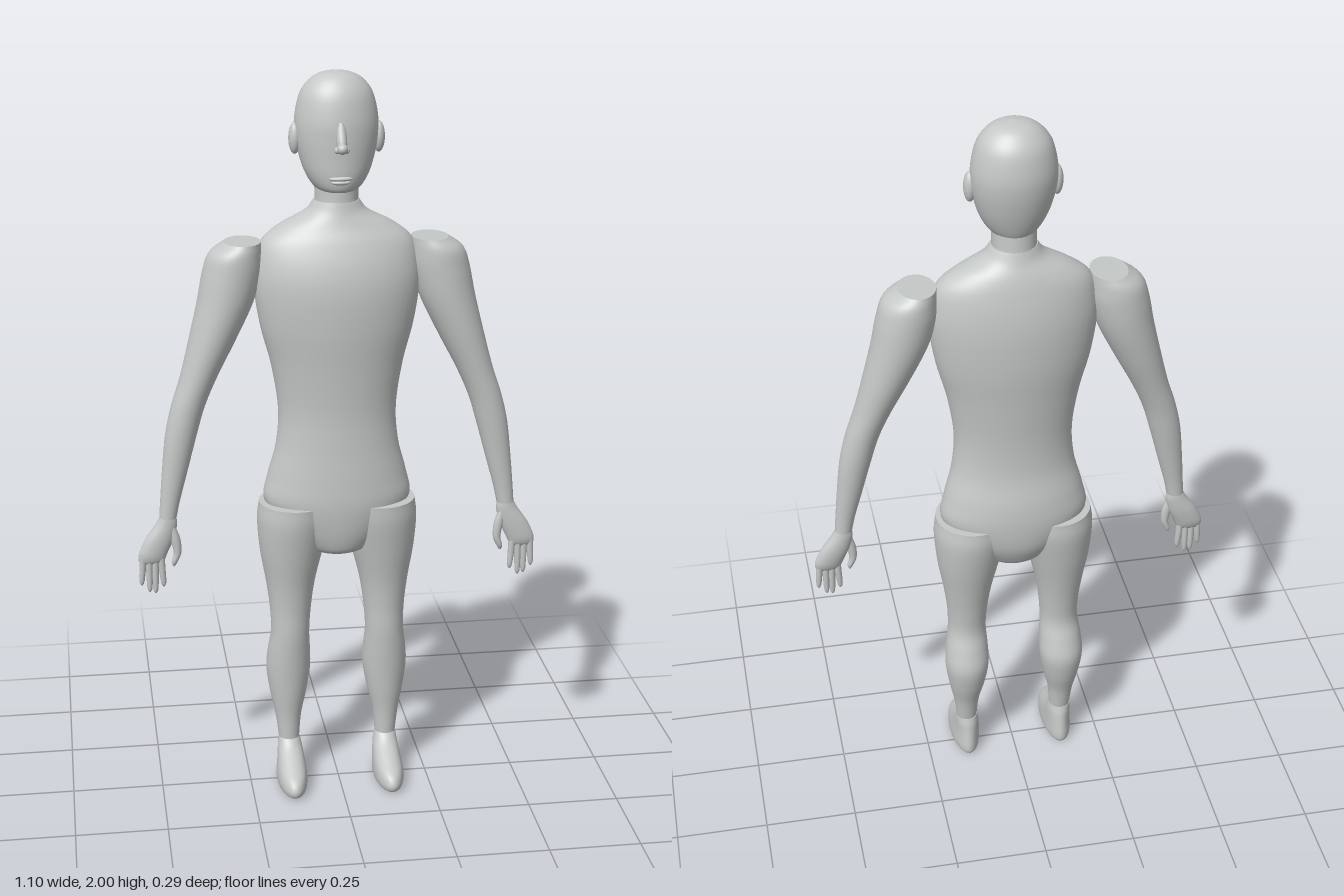
import * as THREE from 'three';

const skin = new THREE.MeshStandardMaterial({ color: 0xc4c8c6 });
skin.name = 'light grey';

// Smooth body through horizontal ellipses, listed from the top down.
// Each section: [y, xMin, xMax, zBack, zFront]
function loft(name, sections, { steps = 6, sides = 36, mirror = 1 } = {}) {
  const centres = new THREE.CatmullRomCurve3(
    sections.map(([y, a, b, c, d]) => new THREE.Vector3(mirror * (a + b) / 2, y, (c + d) / 2)), false, 'catmullrom');
  const radii = new THREE.CatmullRomCurve3(
    sections.map(([, a, b, c, d]) => new THREE.Vector3((b - a) / 2, (d - c) / 2, 0)), false, 'catmullrom');
  const rows = (sections.length - 1) * steps;
  const pos = [], index = [];
  const addRing = (t) => {
    const c = centres.getPoint(t), r = radii.getPoint(t);
    for (let j = 0; j < sides; j++) {
      const a = j / sides * Math.PI * 2;
      pos.push(c.x + Math.max(r.x, 0.0005) * Math.cos(a), c.y, c.z + Math.max(r.y, 0.0005) * Math.sin(a));
    }
    return c;
  };
  for (let i = 0; i <= rows; i++) addRing(i / rows);
  for (let i = 0; i < rows; i++) {
    for (let j = 0; j < sides; j++) {
      const k = (j + 1) % sides;
      const a = i * sides + j, b = i * sides + k;
      index.push(a, b, a + sides, b, b + sides, a + sides);
    }
  }
  // Flat end caps with their own vertices, so the rims stay sharp
  for (const end of [0, 1]) {
    const base = pos.length / 3;
    const c = addRing(end);
    pos.push(c.x, c.y, c.z);
    for (let j = 0; j < sides; j++) {
      const k = (j + 1) % sides;
      if (end === 0) index.push(base + sides, base + k, base + j);
      else index.push(base + sides, base + j, base + k);
    }
  }
  const geo = new THREE.BufferGeometry();
  geo.setAttribute('position', new THREE.Float32BufferAttribute(pos, 3));
  geo.setIndex(index);
  geo.computeVertexNormals();
  const mesh = new THREE.Mesh(geo, skin);
  mesh.name = name;
  return mesh;
}

// Ellipsoid for the small features
function blob(name, x, y, z, rx, ry, rz) {
  const mesh = new THREE.Mesh(new THREE.SphereGeometry(1, 24, 16), skin);
  mesh.name = name;
  mesh.position.set(x, y, z);
  mesh.scale.set(rx, ry, rz);
  return mesh;
}

function makeHead() {
  const head = new THREE.Group();
  head.name = 'head';
  head.add(loft('skull', [
    [2.0, -0.004, 0.004, -0.037, -0.029],
    [1.993, -0.042, 0.042, -0.075, 0.005],
    [1.975, -0.072, 0.072, -0.1, 0.028],
    [1.94, -0.096, 0.096, -0.122, 0.048],
    [1.88, -0.109, 0.109, -0.133, 0.06],
    [1.83, -0.108, 0.108, -0.13, 0.062],
    [1.78, -0.098, 0.098, -0.119, 0.061],
    [1.74, -0.084, 0.084, -0.106, 0.06],
    [1.71, -0.066, 0.066, -0.093, 0.055],
    [1.697, -0.05, 0.05, -0.082, 0.046],
    [1.692, -0.03, 0.03, -0.06, 0.025],
  ], { sides: 48 }));
  // Nose: bridge, tip and nostrils
  head.add(loft('noseBridge', [
    [1.88, -0.006, 0.006, 0.045, 0.062],
    [1.86, -0.012, 0.012, 0.045, 0.073],
    [1.83, -0.014, 0.014, 0.045, 0.088],
    [1.81, -0.012, 0.012, 0.045, 0.088],
  ], { sides: 20 }));
  head.add(blob('noseTip', 0, 1.817, 0.082, 0.014, 0.014, 0.016));
  // Lips
  head.add(blob('upperLip', 0, 1.735, 0.052, 0.032, 0.007, 0.014));
  head.add(blob('lowerLip', 0, 1.725, 0.052, 0.026, 0.007, 0.013));
  for (const s of [1, -1]) {
    head.add(blob('nostril', s * 0.011, 1.812, 0.072, 0.009, 0.009, 0.012));
    head.add(blob(s > 0 ? 'leftEar' : 'rightEar', s * 0.11, 1.828, -0.028, 0.016, 0.041, 0.021));
  }
  return head;
}

function makeArm(mirror) {
  const arm = new THREE.Group();
  arm.name = mirror > 0 ? 'leftArm' : 'rightArm';
  arm.add(loft('armLimb', [
    [1.56, 0.2, 0.298, -0.095, 0.035],
    [1.53, 0.198, 0.338, -0.107, 0.047],
    [1.48, 0.2, 0.356, -0.11, 0.05],
    [1.4, 0.222, 0.372, -0.105, 0.05],
    [1.3, 0.27, 0.396, -0.09, 0.046],
    [1.2, 0.322, 0.422, -0.07, 0.039],
    [1.12, 0.357, 0.448, -0.057, 0.035],
    [1.04, 0.381, 0.466, -0.048, 0.032],
    [0.94, 0.408, 0.477, -0.035, 0.027],
    [0.86, 0.43, 0.484, -0.025, 0.024],
    [0.81, 0.441, 0.488, -0.021, 0.023],
  ], { mirror }));
  // Palm
  arm.add(loft('palm', [
    [0.815, 0.443, 0.486, -0.017, 0.021],
    [0.79, 0.44, 0.5, -0.019, 0.023],
    [0.75, 0.45, 0.528, -0.019, 0.025],
    [0.71, 0.468, 0.546, -0.014, 0.024],
    [0.69, 0.477, 0.547, -0.008, 0.02],
    [0.68, 0.49, 0.54, -0.002, 0.014],
  ], { mirror }));
  // Four fingers: [base x, tip x, tip y]
  const fingers = [[0.535, 0.54, 0.618], [0.519, 0.519, 0.598], [0.502, 0.503, 0.594], [0.487, 0.481, 0.612]];
  for (const [bx, tx, ty] of fingers) {
    const mx = (bx + tx) / 2, my = (0.71 + ty) / 2;
    arm.add(loft('finger', [
      [0.71, bx - 0.01, bx + 0.01, -0.004, 0.018],
      [my, mx - 0.009, mx + 0.009, -0.003, 0.017],
      [ty + 0.012, tx - 0.007, tx + 0.007, 0, 0.015],
      [ty, tx - 0.002, tx + 0.002, 0.005, 0.01],
    ], { mirror, sides: 14, steps: 4 }));
  }
  // Thumb
  arm.add(loft('thumb', [
    [0.79, 0.447, 0.463, -0.002, 0.018],
    [0.75, 0.433, 0.459, -0.003, 0.021],
    [0.71, 0.431, 0.452, -0.001, 0.02],
    [0.685, 0.441, 0.458, 0.001, 0.018],
    [0.671, 0.449, 0.455, 0.006, 0.012],
  ], { mirror, sides: 16, steps: 4 }));
  return arm;
}

function makeLeg(mirror) {
  const leg = new THREE.Group();
  leg.name = mirror > 0 ? 'leftLeg' : 'rightLeg';
  leg.add(loft('legLimb', [
    [0.835, 0.012, 0.214, -0.132, 0.08],
    [0.78, 0.018, 0.22, -0.133, 0.077],
    [0.69, 0.04, 0.213, -0.117, 0.061],
    [0.6, 0.062, 0.198, -0.097, 0.044],
    [0.52, 0.074, 0.188, -0.082, 0.036],
    [0.45, 0.079, 0.186, -0.076, 0.034],
    [0.39, 0.076, 0.194, -0.092, 0.029],
    [0.33, 0.075, 0.198, -0.105, 0.023],
    [0.26, 0.086, 0.189, -0.092, 0.016],
    [0.19, 0.102, 0.175, -0.069, 0.008],
    [0.12, 0.109, 0.166, -0.055, 0.004],
  ], { mirror }));
  // Foot
  leg.add(loft('foot', [
    [0.122, 0.108, 0.167, -0.058, 0.004],
    [0.1, 0.103, 0.17, -0.064, 0.03],
    [0.075, 0.099, 0.173, -0.068, 0.078],
    [0.05, 0.096, 0.177, -0.072, 0.128],
    [0.028, 0.095, 0.179, -0.075, 0.145],
    [0.01, 0.097, 0.177, -0.074, 0.143],
    [0, 0.105, 0.169, -0.066, 0.128],
  ], { mirror }));
  return leg;
}

export function createModel() {
  const figure = new THREE.Group();
  figure.name = 'figure';
  figure.add(makeHead());
  figure.add(loft('neck', [
    [1.71, -0.058, 0.058, -0.09, 0.022],
    [1.66, -0.058, 0.058, -0.094, 0.024],
    [1.62, -0.066, 0.066, -0.1, 0.03],
  ]));
  figure.add(loft('torso', [
    [1.665, -0.06, 0.06, -0.094, 0.024],
    [1.635, -0.085, 0.085, -0.104, 0.032],
    [1.6, -0.152, 0.152, -0.118, 0.045],
    [1.56, -0.2, 0.2, -0.129, 0.064],
    [1.5, -0.218, 0.218, -0.14, 0.084],
    [1.43, -0.22, 0.22, -0.145, 0.094],
    [1.33, -0.205, 0.205, -0.142, 0.092],
    [1.22, -0.177, 0.177, -0.13, 0.082],
    [1.1, -0.16, 0.16, -0.119, 0.074],
    [1.0, -0.167, 0.167, -0.12, 0.076],
    [0.91, -0.19, 0.19, -0.136, 0.081],
    [0.84, -0.2, 0.2, -0.14, 0.083],
    [0.77, -0.152, 0.152, -0.132, 0.076],
    [0.72, -0.106, 0.106, -0.11, 0.064],
    [0.7, -0.08, 0.08, -0.094, 0.052],
    [0.69, -0.05, 0.05, -0.07, 0.03],
  ], { sides: 48 }));
  for (const side of [1, -1]) figure.add(makeArm(side), makeLeg(side));
  return figure;
}
